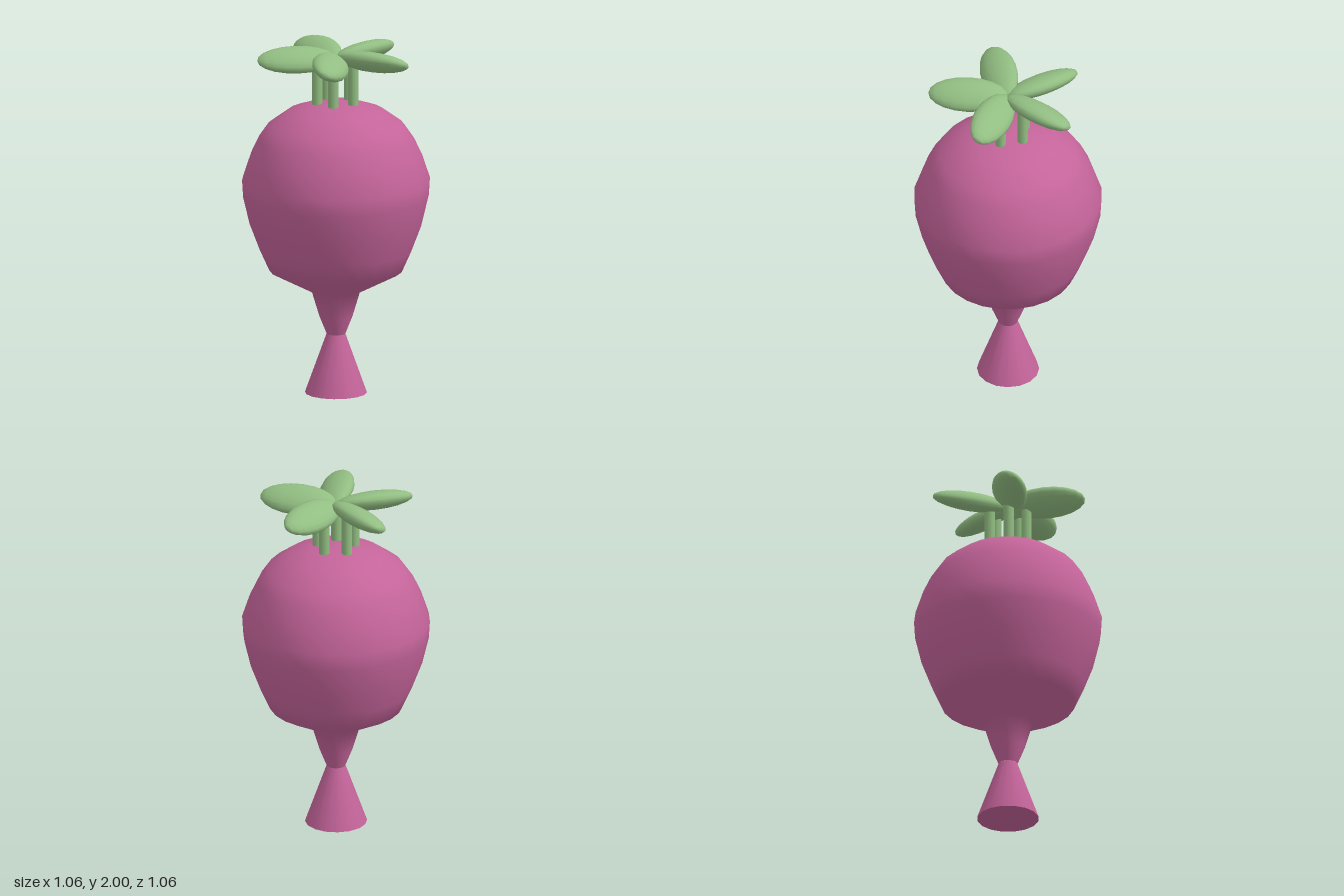
import * as THREE from 'three';

const pink = new THREE.MeshStandardMaterial({ color: 0xc4649a });
const green = new THREE.MeshStandardMaterial({ color: 0x92be82 });

function add(parent, name, geometry, material) {
  const mesh = new THREE.Mesh(geometry, material);
  mesh.name = name;
  parent.add(mesh);
  return mesh;
}

export function createModel() {
  const model = new THREE.Group();
  model.name = 'rootVegetable';

  // Bulb: smooth lathe, tapering into the thin neck at the bottom
  const profile = [
    [0.053, 0.34], [0.095, 0.445], [0.137, 0.585], [0.376, 0.71],
    [0.43, 0.83], [0.487, 0.98], [0.524, 1.135], [0.53, 1.235],
    [0.485, 1.37], [0.44, 1.465], [0.385, 1.545], [0.27, 1.628],
    [0.14, 1.672], [0, 1.682],
  ].map(([r, y]) => new THREE.Vector2(r, y));
  add(model, 'bulb', new THREE.LatheGeometry(profile, 24), pink);

  // Flared foot below the neck
  const foot = new THREE.CylinderGeometry(0.053, 0.175, 0.34, 16);
  foot.translate(0, 0.17, 0);
  add(model, 'foot', foot, pink);

  // Leaf: long ellipsoid reaching outward along x, rolled about its length
  const leaf = new THREE.SphereGeometry(1, 16, 10);
  leaf.rotateZ(-Math.PI / 2);
  leaf.scale(0.225, 0.055, 0.107);
  leaf.rotateX(-25 * Math.PI / 180);
  leaf.translate(0.225, 1.933, 0);

  // Stalk: upright rod carrying each leaf
  const stalk = new THREE.CylinderGeometry(0.03, 0.03, 0.27, 12);
  stalk.translate(0.108, 1.795, 0);

  // Five sprouts around the crown
  for (let i = 0; i < 5; i++) {
    const sprout = new THREE.Group();
    sprout.name = 'sprout' + (i + 1);
    sprout.rotation.y = (i * Math.PI * 2) / 5;
    add(sprout, 'stalk', stalk, green);
    add(sprout, 'leaf', leaf, green);
    model.add(sprout);
  }

  return model;
}
